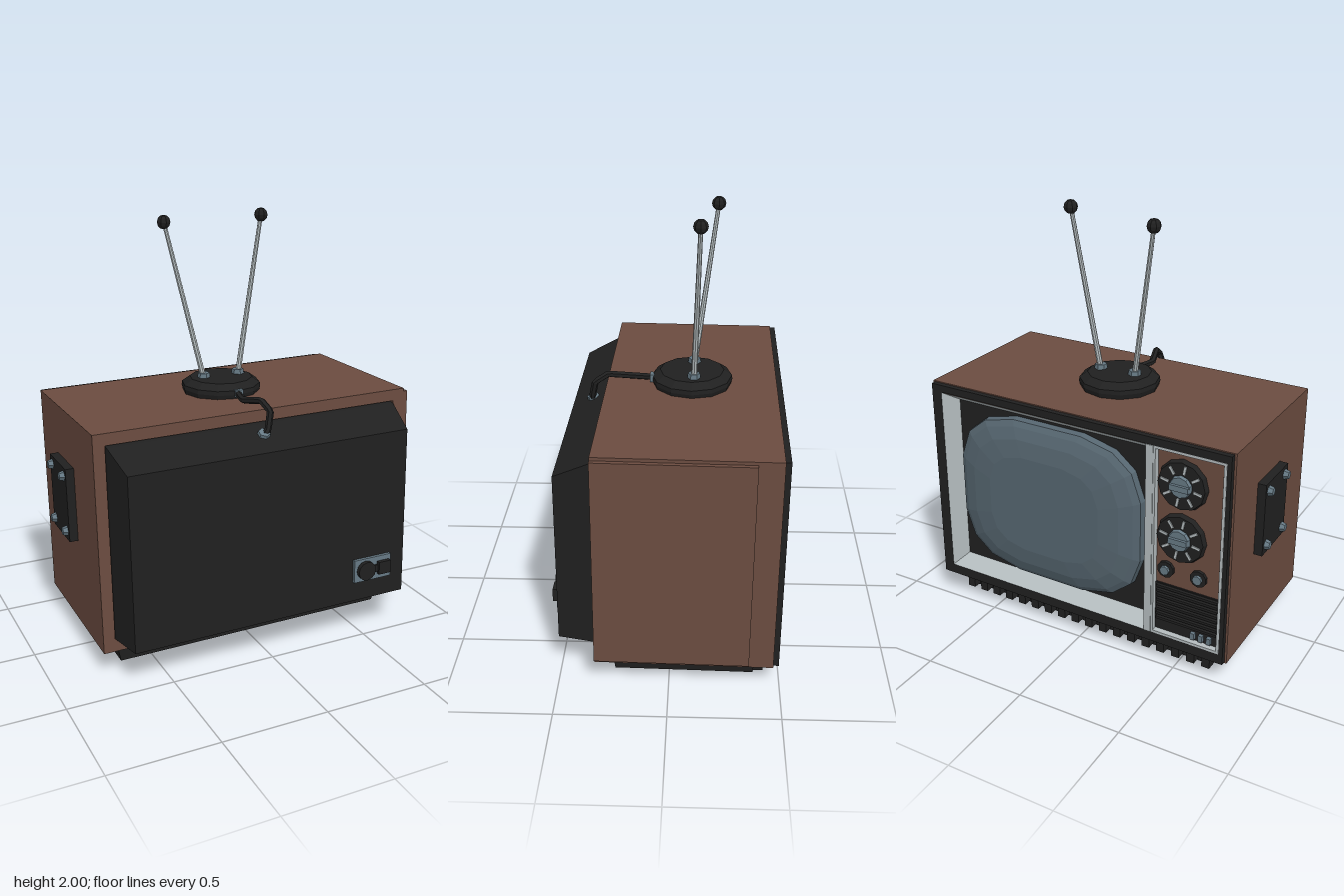
import * as THREE from 'three';

const mat = (color, double) => new THREE.MeshStandardMaterial({
  color, flatShading: true, side: double ? THREE.DoubleSide : THREE.FrontSide });
const BROWN = mat(0x6b4c40), BLACK = mat(0x202020), STEEL = mat(0x667984),
  GLASS = mat(0x566670), SILVER = mat(0xb4bcbe, true);

function add(parent, name, geometry, material, x = 0, y = 0, z = 0) {
  const mesh = new THREE.Mesh(geometry, material);
  mesh.name = name;
  mesh.position.set(x, y, z);
  parent.add(mesh);
  return mesh;
}

// box given by its limits
function block(parent, name, material, x0, x1, y0, y1, z0, z1) {
  return add(parent, name, new THREE.BoxGeometry(x1 - x0, y1 - y0, z1 - z0), material,
    (x0 + x1) / 2, (y0 + y1) / 2, (z0 + z1) / 2);
}

// disc whose axis runs along z
function disc(parent, name, material, r, x, y, z0, z1, sides = 12, rTop = r) {
  const g = new THREE.CylinderGeometry(rTop, r, Math.abs(z1 - z0), sides);
  g.rotateX(z1 > z0 ? Math.PI / 2 : -Math.PI / 2);
  return add(parent, name, g, material, x, y, (z0 + z1) / 2);
}

// skin over rings of points that advance along +z
function loft(rings, cap = true) {
  const p = [], n = rings[0].length;
  for (let i = 0; i < rings.length - 1; i++) {
    for (let j = 0; j < n; j++) {
      const k = (j + 1) % n, a = rings[i], b = rings[i + 1];
      p.push(...a[j], ...a[k], ...b[k], ...a[j], ...b[k], ...b[j]);
    }
  }
  if (cap) {
    const last = rings[rings.length - 1];
    for (let j = 1; j < n - 1; j++) p.push(...last[0], ...last[j], ...last[j + 1]);
  }
  const g = new THREE.BufferGeometry();
  g.setAttribute('position', new THREE.Float32BufferAttribute(p, 3));
  g.computeVertexNormals();
  return g;
}

const rect = (x0, x1, y0, y1, z) => [[x0, y0, z], [x1, y0, z], [x1, y1, z], [x0, y1, z]];

// rectangular plate with rectangular holes, limits as [x0, x1, y0, y1]
function framePlate(outer, holes, depth) {
  const points = r => rect(...r, 0).map(q => new THREE.Vector2(q[0], q[1]));
  const shape = new THREE.Shape(points(outer));
  for (const h of holes) shape.holes.push(new THREE.Path(points(h).reverse()));
  return new THREE.ExtrudeGeometry(shape, { depth, bevelEnabled: false });
}

function buildCabinet(body) {
  add(body, 'cabinet', framePlate([-0.765, 0.8, 0.12, 1.155], [[-0.71, 0.74, 0.18, 1.1]], 0.8),
    BROWN, 0, 0, -0.48);
  block(body, 'sidePanel', BROWN, 0.79, 0.82, 0.14, 1.14, -0.37, 0.32);

  // tapered rear housing
  add(body, 'rearHousing', loft([rect(-0.71, 0.74, 0.18, 1.1, 0.26), rect(-0.705, 0.735, 0.18, 1.09, 0.33),
    rect(-0.675, 0.71, 0.185, 1.01, 0.49)]), BLACK);
  block(body, 'socketPlate', STEEL, 0.43, 0.63, 0.285, 0.4, 0.48, 0.505);
  disc(body, 'roundSocket', BLACK, 0.047, 0.49, 0.343, 0.49, 0.525);
  block(body, 'socketBridge', BLACK, 0.49, 0.56, 0.325, 0.36, 0.49, 0.515);
  block(body, 'squareSocket', BLACK, 0.555, 0.62, 0.312, 0.375, 0.49, 0.525);

  // riveted plate on the side
  block(body, 'sidePlate', BLACK, -0.805, -0.76, 0.555, 0.91, -0.235, 0.015);
  for (const y of [0.6, 0.87]) for (const z of [-0.2, -0.02]) {
    const rivet = add(body, 'rivet', new THREE.CylinderGeometry(0.018, 0.025, 0.025, 6), STEEL, -0.815, y, z);
    rivet.rotation.z = Math.PI / 2;
  }

  // plinth with a row of ribs
  const plinth = loft([rect(-0.685, 0.725, -0.405, 0.25, -0.14), rect(-0.66, 0.705, -0.395, 0.235, -0.015)]);
  plinth.rotateX(Math.PI / 2);
  add(body, 'plinth', plinth, BLACK);
  for (let i = 0; i < 18; i++) {
    const x = -0.645 + i * 0.078;
    block(body, 'plinthRib', BLACK, x - 0.02, x + 0.02, 0.025, 0.13, -0.44, -0.38);
  }
}

function buildFace(body) {
  const screenHole = [-0.36, 0.735, 0.175, 1.115], panelHole = [-0.735, -0.395, 0.175, 1.115];
  add(body, 'bezel', framePlate([-0.755, 0.79, 0.125, 1.15], [screenHole, panelHole], 0.03),
    BLACK, 0, 0, -0.505);

  // sloping bright surround, backing and bulging glass
  add(body, 'screenSurround', loft([rect(...screenHole, -0.507),
    rect(-0.335, 0.685, 0.225, 1.065, -0.435)], false), SILVER);
  block(body, 'screenBacking', BLACK, -0.37, 0.74, 0.17, 1.11, -0.43, -0.415);
  const oval = (s, z) => Array.from({ length: 16 }, (_, i) => {
    const a = (i + 0.5) * Math.PI / 8, c = Math.cos(a), d = Math.sin(a);
    return [0.5 * s * Math.sign(c) * Math.abs(c) ** 0.62, 0.41 * s * Math.sign(d) * Math.abs(d) ** 0.62, z];
  });
  const glass = loft([oval(1, 0.425), oval(0.99, 0.465), oval(0.93, 0.482), oval(0.8, 0.502), oval(0.6, 0.514)]);
  glass.rotateY(Math.PI);
  add(body, 'screen', glass, GLASS, 0.175, 0.645, 0);

  // control panel
  block(body, 'controlPanel', BROWN, -0.74, -0.39, 0.17, 1.12, -0.475, -0.455);
  block(body, 'divider', SILVER, -0.395, -0.36, 0.175, 1.115, -0.51, -0.44);
  add(body, 'panelTrim', framePlate(panelHole, [[-0.722, -0.405, 0.187, 1.103]], 0.03), SILVER, 0, 0, -0.507);
  for (const y of [0.95, 0.69]) {
    const dial = new THREE.Group();
    dial.name = 'dial';
    dial.position.set(-0.525, y, 0);
    body.add(dial);
    disc(dial, 'dialDisc', BLACK, 0.122, 0, 0, -0.47, -0.497, 12, 0.112);
    for (let i = 0; i < 8; i++) {
      const a = i * Math.PI / 4 + 0.2;
      const mark = add(dial, 'dialMark', new THREE.BoxGeometry(0.04, 0.012, 0.008), SILVER,
        0.08 * Math.cos(a), 0.08 * Math.sin(a), -0.498);
      mark.rotation.z = a;
    }
    disc(dial, 'dialHub', STEEL, 0.055, 0, 0, -0.49, -0.512, 10, 0.048);
    block(dial, 'dialGrip', STEEL, -0.045, 0.045, -0.013, 0.013, -0.525, -0.505);
  }
  for (const x of [-0.455, -0.615]) {
    disc(body, 'smallKnob', BLACK, 0.04, x, 0.515, -0.47, -0.49, 10);
    disc(body, 'smallKnobCap', STEEL, 0.022, x, 0.515, -0.485, -0.503, 8);
  }

  // speaker grille with slats and small switches
  block(body, 'grille', BLACK, -0.722, -0.405, 0.19, 0.435, -0.482, -0.465);
  for (let i = 0; i < 8; i++) {
    const y = 0.25 + i * 0.024;
    block(body, 'grilleSlat', BLACK, -0.715, -0.415, y, y + 0.012, -0.497, -0.475);
  }
  for (const x of [-0.6, -0.64, -0.68]) block(body, 'switch', STEEL, x - 0.01, x + 0.01, 0.2, 0.232, -0.5, -0.475);
}

function buildAntenna(root) {
  const antenna = new THREE.Group();
  antenna.name = 'antenna';
  root.add(antenna);
  const profile = [[0, 1.14], [0.18, 1.14], [0.19, 1.175], [0.188, 1.195], [0.15, 1.222], [0, 1.225]]
    .map(q => new THREE.Vector2(...q));
  add(antenna, 'antennaBase', new THREE.LatheGeometry(profile, 12), BLACK, 0.01, 0, -0.085);

  const rods = [[[-0.075, 1.215, -0.095], [-0.225, 1.953, -0.2]], [[0.105, 1.215, -0.095], [0.237, 1.973, -0.12]]];
  for (const [from, to] of rods) {
    const a = new THREE.Vector3(...from), b = new THREE.Vector3(...to);
    add(antenna, 'rodSocket', new THREE.CylinderGeometry(0.028, 0.032, 0.035, 6), STEEL, a.x, 1.228, a.z);
    const rod = add(antenna, 'rod', new THREE.CylinderGeometry(0.01, 0.014, a.distanceTo(b), 8), SILVER);
    rod.position.lerpVectors(a, b, 0.5);
    rod.quaternion.setFromUnitVectors(new THREE.Vector3(0, 1, 0), b.clone().sub(a).normalize());
    add(antenna, 'rodTip', new THREE.SphereGeometry(0.033, 8, 6), BLACK, b.x, b.y, b.z);
  }

  // cable bent over the back edge
  const path = new THREE.CurvePath();
  const pts = [[0.015, 1.182, 0.08], [-0.01, 1.178, 0.2], [0.025, 1.2, 0.31], [0.04, 1.165, 0.37], [0.02, 1.085, 0.387], [0, 1.06, 0.385]]
    .map(q => new THREE.Vector3(...q));
  for (let i = 1; i < pts.length; i++) path.add(new THREE.LineCurve3(pts[i - 1], pts[i]));
  add(antenna, 'cable', new THREE.TubeGeometry(path, 30, 0.016, 6), BLACK);
  block(antenna, 'cableClip', STEEL, -0.005, 0.035, 1.165, 1.2, 0.09, 0.112);
  const plug = add(antenna, 'cablePlug', new THREE.CylinderGeometry(0.028, 0.032, 0.03, 6), STEEL, 0, 1.065, 0.385);
  plug.rotation.x = 0.45;
}

export function createModel() {
  const root = new THREE.Group();
  root.name = 'television';

  // the body leans very slightly about its middle
  const tilt = new THREE.Group(), body = new THREE.Group();
  tilt.name = 'bodyTilt';
  body.name = 'body';
  tilt.position.set(0.015, 0.64, -0.08);
  tilt.rotation.set(-0.01, -0.009, 0.0125);
  body.position.copy(tilt.position).negate();
  tilt.add(body);
  root.add(tilt);

  buildCabinet(body);
  buildFace(body);
  buildAntenna(root);
  return root;
}
